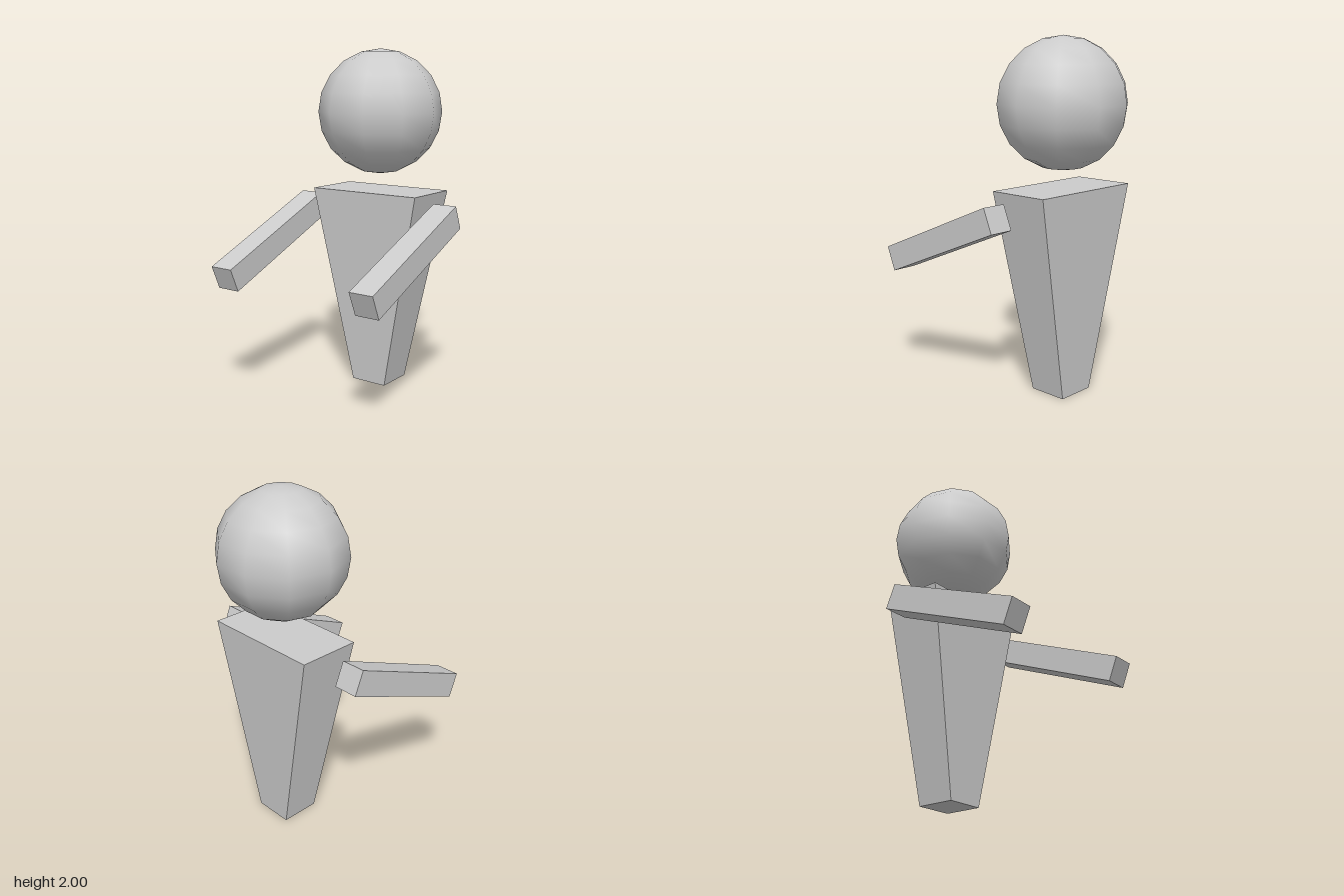
import * as THREE from 'three';

export function createModel() {
  const group = new THREE.Group();
  const material = new THREE.MeshStandardMaterial({ color: 0xcccccc });
  const centreZ = -0.262;

  const addPart = (name, geometry, x, y, z) => {
    const mesh = new THREE.Mesh(geometry, material);
    mesh.name = name;
    mesh.position.set(x, y, z);
    group.add(mesh);
    return mesh;
  };

  // Floating head
  addPart('head', new THREE.SphereGeometry(0.364, 10, 10), 0, 1.636, centreZ);

  // Body: a box narrowed towards the bottom
  const height = 1.177;
  const body = new THREE.BoxGeometry(1, height, 1);
  const corners = body.attributes.position;
  for (let i = 0; i < corners.count; i++) {
    const top = corners.getY(i) > 0;
    corners.setX(i, corners.getX(i) * (top ? 0.714 : 0.228));
    corners.setZ(i, corners.getZ(i) * (top ? 0.364 : 0.228));
  }
  body.computeVertexNormals();
  addPart('body', body, 0, height / 2, centreZ);

  // Arms reaching forward and down
  for (const side of [-1, 1]) {
    const arm = addPart(side > 0 ? 'leftArm' : 'rightArm',
      new THREE.BoxGeometry(0.145, 0.145, 0.883), side * 0.475, 0.894, 0.173);
    arm.rotation.x = Math.PI / 8;
  }

  return group;
}
